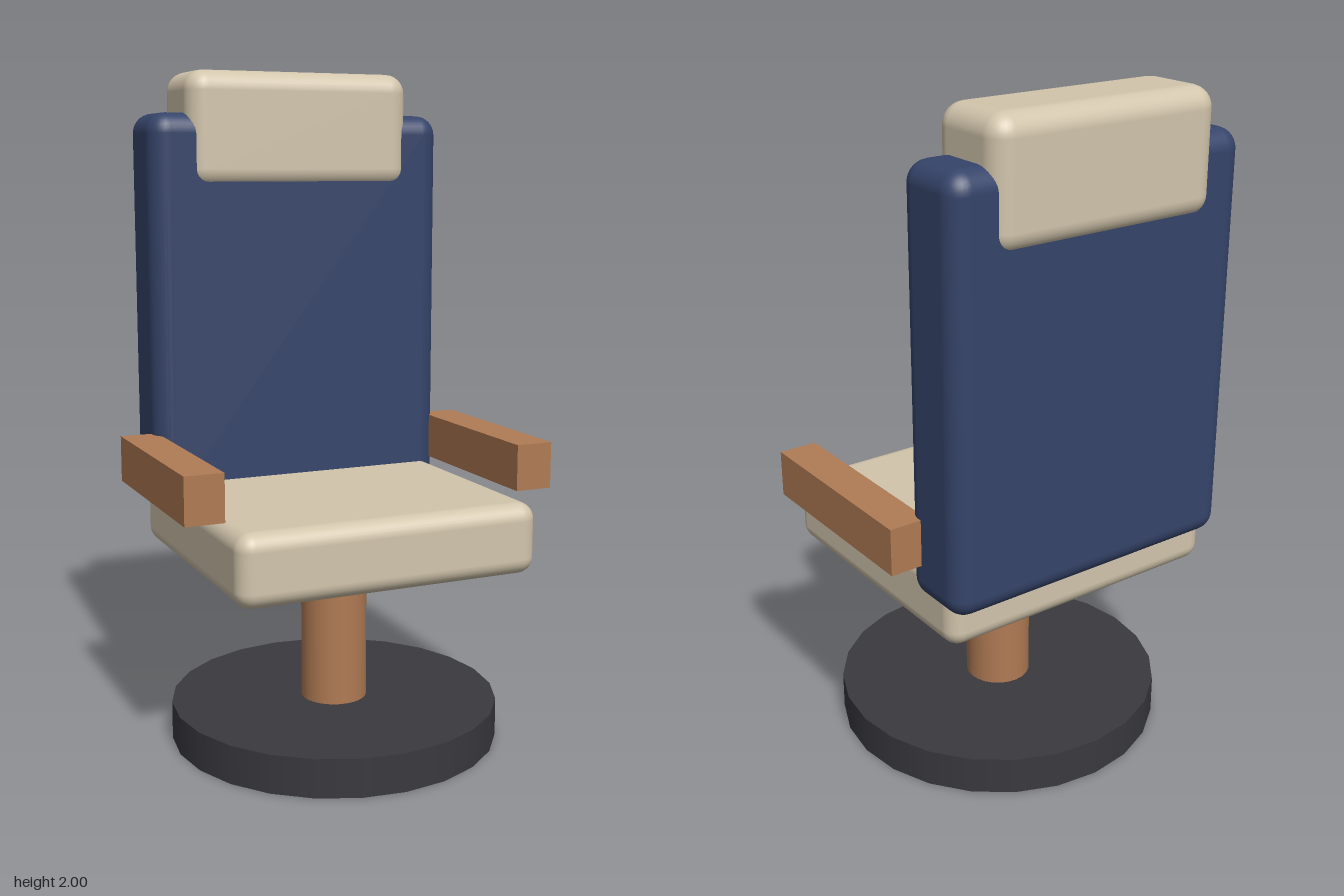
import * as THREE from 'three';
import { RoundedBoxGeometry } from 'three/addons/geometries/RoundedBoxGeometry.js';

function material(name, color) {
  const m = new THREE.MeshStandardMaterial({ color });
  m.name = name;
  return m;
}

export function createModel() {
  const chair = new THREE.Group();
  chair.name = 'swivelChair';

  const cream = material('cream', 0xd2c5ac);
  const navy = material('navy', 0x35446a);
  const wood = material('wood', 0xb07b54);
  const charcoal = material('charcoal', 0x3a393f);

  // Adds a mesh whose underside sits at height y
  const add = (name, geometry, mat, x, y, z, height) => {
    const mesh = new THREE.Mesh(geometry, mat);
    mesh.name = name;
    mesh.position.set(x, y + height / 2, z);
    chair.add(mesh);
  };
  const cushion = (name, mat, w, h, d, r, y, z) =>
    add(name, new RoundedBoxGeometry(w, h, d, 4, r), mat, 0, y, z, h);

  // Pedestal
  add('base', new THREE.CylinderGeometry(0.497, 0.497, 0.115, 24), charcoal, 0, 0, 0, 0.115);
  add('post', new THREE.CylinderGeometry(0.1, 0.1, 0.46, 24), wood, 0, 0.11, 0, 0.46);

  // Padded parts
  cushion('seat', cream, 0.92, 0.212, 0.85, 0.05, 0.552, 0);
  cushion('backrest', navy, 0.95, 1.21, 0.24, 0.06, 0.665, -0.355);
  cushion('headrest', cream, 0.72, 0.35, 0.27, 0.06, 1.65, -0.357);

  // Armrests
  for (const [name, side] of [['leftArmrest', 1], ['rightArmrest', -1]]) {
    add(name, new THREE.BoxGeometry(0.115, 0.138, 0.61), wood, side * 0.5125, 0.775, 0, 0.138);
  }

  return chair;
}
